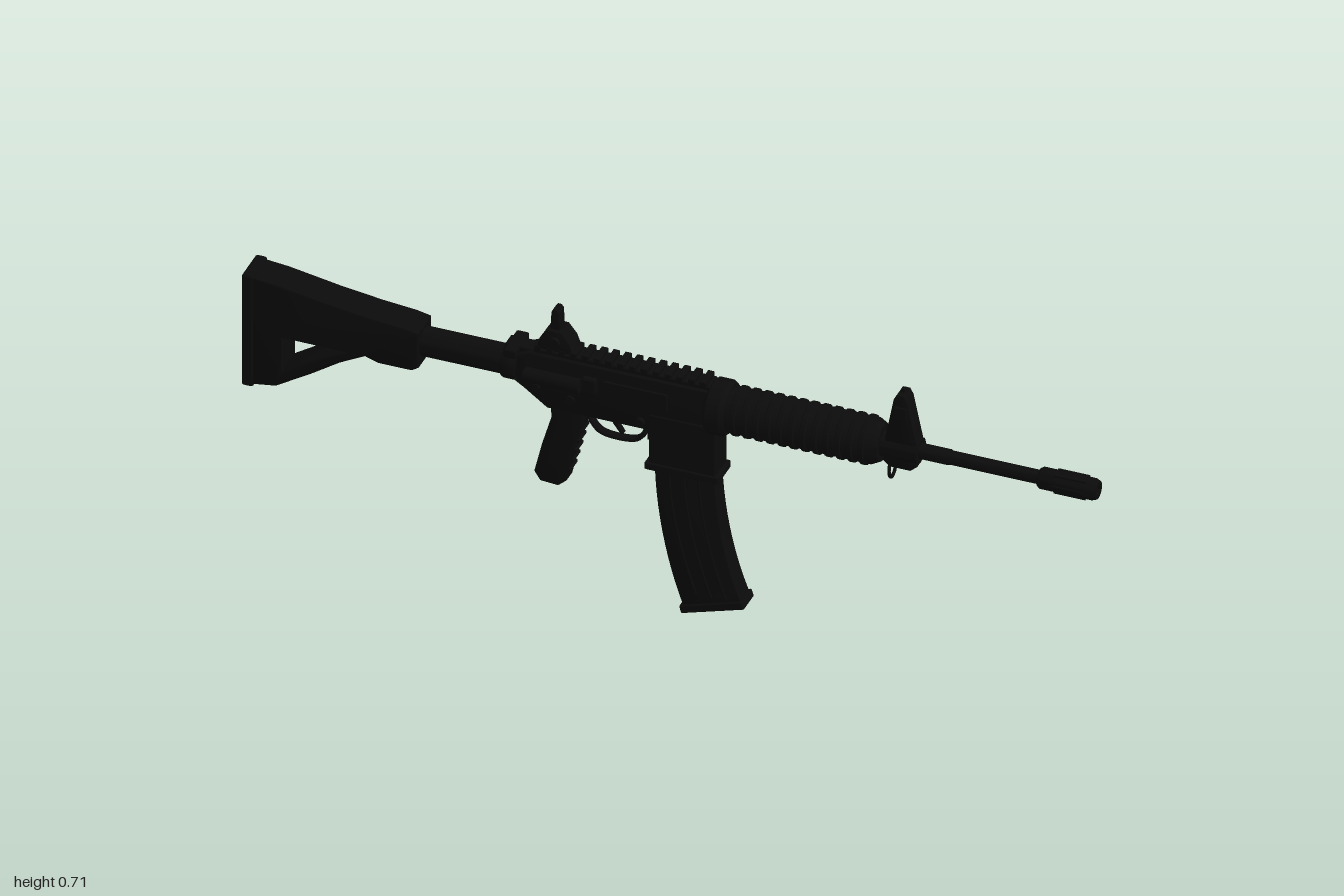
import * as THREE from 'three';
import { RoundedBoxGeometry } from 'three/addons/geometries/RoundedBoxGeometry.js';
import { toCreasedNormals } from 'three/addons/utils/BufferGeometryUtils.js';

export function createModel() {
  const model = new THREE.Group();
  const black = new THREE.MeshStandardMaterial({ color: 0x0b0b0b });
  black.name = 'matte black';
  const AXIS = 0.548; // height of the bore line

  const add = (name, geo) => {
    const mesh = new THREE.Mesh(geo, black);
    mesh.name = name;
    model.add(mesh);
    return mesh;
  };
  const box = (name, x0, x1, y0, y1, z0, z1, r = 0.004) => {
    const mesh = add(name, new RoundedBoxGeometry(x1 - x0, y1 - y0, z1 - z0, 1, r));
    mesh.position.set((x0 + x1) / 2, (y0 + y1) / 2, (z0 + z1) / 2);
    return mesh;
  };
  const toPoints = list => list.map(p => new THREE.Vector2(...p));
  // Side profile (x, y) extruded evenly about z = 0
  const plate = (name, outline, half, bevel = 0.006, holes = []) => {
    const shape = outline instanceof THREE.Shape ? outline : new THREE.Shape(toPoints(outline));
    holes.forEach(h => shape.holes.push(new THREE.Path(toPoints(h))));
    const geo = new THREE.ExtrudeGeometry(shape, {
      depth: 2 * (half - bevel), bevelThickness: bevel, bevelSize: bevel, bevelOffset: -bevel, bevelSegments: 2, curveSegments: 12,
    });
    geo.translate(0, 0, -(half - bevel));
    return add(name, toCreasedNormals(geo, 0.6));
  };
  // Turned part along x from [x, radius] pairs
  const turned = (name, pts) => {
    const geo = new THREE.LatheGeometry(pts.map(([x, r]) => new THREE.Vector2(r, x)), 28);
    geo.rotateZ(-Math.PI / 2);
    const mesh = add(name, toCreasedNormals(geo, 0.6));
    mesh.position.y = AXIS;
  };
  const pin = (name, x, y, r, half, z = 0) => {
    const mesh = add(name, new THREE.CylinderGeometry(r, r, half * 2, 16));
    mesh.rotation.x = Math.PI / 2;
    mesh.position.set(x, y, z);
  };

  // Shoulder stock with triangular opening
  plate('stock', [[-0.985, 0.36], [-0.92, 0.37], [-0.84, 0.42], [-0.77, 0.468], [-0.71, 0.50], [-0.68, 0.49], [-0.60, 0.49],
    [-0.585, 0.50], [-0.585, 0.59], [-0.62, 0.597], [-0.70, 0.604], [-0.80, 0.617], [-0.92, 0.637], [-0.985, 0.643]],
  0.041, 0.004, [[[-0.906, 0.412], [-0.906, 0.50], [-0.755, 0.50], [-0.82, 0.468]]]);
  box('buttPlate', -1, -0.972, 0.356, 0.647, -0.045, 0.045, 0.006);
  box('stockLatch', -0.68, -0.60, 0.484, 0.50, -0.022, 0.022);

  // Stock tube and its ring nut
  turned('stockTube', [[-0.62, 0], [-0.62, 0.034], [-0.34, 0.034], [-0.34, 0]]);
  turned('ringNut', [[-0.395, 0], [-0.395, 0.038], [-0.39, 0.041], [-0.365, 0.041], [-0.36, 0.038], [-0.36, 0]]);

  // Receiver
  plate('upperReceiver', [[-0.36, 0.515], [0.10, 0.505], [0.10, 0.60], [-0.33, 0.60], [-0.36, 0.585]], 0.034, 0.009);
  plate('lowerReceiver', [[-0.37, 0.525], [-0.34, 0.505], [-0.285, 0.465], [-0.05, 0.465], [-0.05, 0.44], [0.11, 0.44], [0.11, 0.525]], 0.033, 0.005);
  box('magazineWell', -0.045, 0.112, 0.375, 0.51, -0.036, 0.036);
  box('magazineWellLip', -0.054, 0.12, 0.366, 0.385, -0.040, 0.040);
  box('ejectionCover', -0.15, 0.0, 0.53, 0.572, 0.032, 0.039, 0.002);
  box('boltCatch', -0.075, -0.05, 0.48, 0.535, -0.042, -0.03);
  box('selectorLever', -0.27, -0.225, 0.495, 0.507, -0.042, -0.03);
  pin('selectorPivot', -0.23, 0.50, 0.012, 0.038);
  pin('rearPin', -0.31, 0.515, 0.009, 0.037);
  pin('frontPin', 0.085, 0.50, 0.009, 0.038);
  pin('magazineButton', -0.065, 0.485, 0.011, 0.006, 0.036);
  const assist = add('forwardAssist', new THREE.CylinderGeometry(0.017, 0.017, 0.13, 16));
  assist.rotation.z = Math.PI / 2;
  assist.position.set(-0.268, 0.55, 0.043);
  box('shellDeflector', -0.20, -0.165, 0.535, 0.575, 0.03, 0.048, 0.006);
  box('chargingHandle', -0.39, -0.31, 0.582, 0.602, -0.02, 0.02);
  box('chargingHandleGrip', -0.385, -0.355, 0.58, 0.602, -0.042, 0.042);

  // Toothed top rail
  box('railBase', -0.32, 0.095, 0.595, 0.609, -0.024, 0.024, 0.003);
  for (let i = 0; i < 15; i++) {
    const x = -0.318 + i * 0.0278;
    box('railTooth', x, x + 0.016, 0.605, 0.619, -0.026, 0.026, 0.002);
  }

  // Rear sight
  plate('rearSightBase', [[-0.315, 0.612], [-0.225, 0.612], [-0.235, 0.64], [-0.255, 0.665], [-0.29, 0.665], [-0.305, 0.64]], 0.025, 0.004);
  plate('rearSightBlade', [[-0.285, 0.65], [-0.26, 0.65], [-0.263, 0.708], [-0.269, 0.715], [-0.277, 0.715], [-0.282, 0.708]], 0.016, 0.003);
  pin('rearSightKnob', -0.27, 0.638, 0.013, 0.034);

  // Pistol grip with ribbed front
  plate('pistolGrip', [[-0.283, 0.48], [-0.20, 0.48], [-0.208, 0.42], [-0.222, 0.37], [-0.245, 0.275], [-0.262, 0.26], [-0.305, 0.263],
    [-0.32, 0.285], [-0.302, 0.36], [-0.28, 0.435]], 0.028, 0.011);
  for (let i = 0; i < 5; i++) {
    const rib = box('gripRib', -0.263 + i * 0.007, -0.233 + i * 0.007, 0.305 + i * 0.027, 0.314 + i * 0.027, -0.022, 0.022, 0.003);
    rib.rotation.z = -0.25;
  }

  // Trigger and guard
  const guardPath = new THREE.CatmullRomCurve3([[-0.205, 0.47], [-0.185, 0.43], [-0.165, 0.414], [-0.09, 0.414], [-0.07, 0.43], [-0.058, 0.47]]
    .map(([x, y]) => new THREE.Vector3(x, y, 0)));
  const guard = add('triggerGuard', new THREE.TubeGeometry(guardPath, 28, 0.006, 8));
  guard.scale.z = 2;
  plate('trigger', [[-0.145, 0.475], [-0.122, 0.475], [-0.128, 0.445], [-0.115, 0.424], [-0.123, 0.422], [-0.14, 0.445]], 0.007, 0.002);

  // Curved magazine with pressed ribs and floor plate
  const magazine = new THREE.Shape();
  magazine.moveTo(-0.036, 0.40);
  magazine.bezierCurveTo(-0.036, 0.27, -0.01, 0.13, 0.032, 0.018);
  magazine.lineTo(0.17, 0.06);
  magazine.bezierCurveTo(0.13, 0.16, 0.108, 0.28, 0.106, 0.40);
  plate('magazine', magazine, 0.027, 0.006);
  for (const side of [-1, 1]) for (const offset of [0.035, 0.07, 0.105]) {
    const path = new THREE.CubicBezierCurve3(...[[-0.036, 0.37], [-0.034, 0.27], [-0.008, 0.16], [0.028, 0.06]]
      .map(([x, y]) => new THREE.Vector3(x + offset, y, side * 0.026)));
    add('magazineRib', new THREE.TubeGeometry(path, 16, 0.004, 6));
  }
  const floor = box('magazineFloorPlate', -0.078, 0.078, -0.01, 0.01, -0.031, 0.031);
  floor.position.set(0.101, 0.033, 0);
  floor.rotation.z = 0.3;

  // Ribbed round handguard
  turned('handguardRing', [[0.088, 0], [0.088, 0.056], [0.097, 0.064], [0.128, 0.064], [0.138, 0.057], [0.138, 0]]);
  turned('handguard', [[0.13, 0], [0.13, 0.053], [0.475, 0.053], [0.495, 0.043], [0.495, 0]]);
  for (let i = 0; i < 12; i++) {
    const x = 0.15 + i * 0.0275;
    turned('handguardRib', [[x, 0.052], [x + 0.003, 0.057], [x + 0.013, 0.057], [x + 0.016, 0.052]]);
  }

  // Front sight tower and sling loop
  plate('frontSightTower', [[0.50, 0.515], [0.515, 0.502], [0.565, 0.502], [0.58, 0.515], [0.58, 0.575], [0.558, 0.68], [0.55, 0.695],
    [0.533, 0.695], [0.525, 0.68], [0.505, 0.575]], 0.021, 0.004);
  turned('frontSightCollar', [[0.495, 0], [0.495, 0.03], [0.582, 0.03], [0.582, 0]]);
  box('frontSightCrossbar', 0.526, 0.557, 0.63, 0.665, -0.025, 0.025);
  box('frontSightPost', 0.537, 0.546, 0.69, 0.704, -0.006, 0.006, 0.002);
  const loop = add('slingLoop', new THREE.TorusGeometry(0.02, 0.004, 8, 24));
  loop.rotation.y = Math.PI / 2;
  loop.scale.y = 1.2;
  loop.position.set(0.515, 0.49, 0);

  // Barrel and hollow muzzle device
  turned('barrel', [[0.48, 0], [0.48, 0.018], [0.65, 0.018], [0.655, 0.016], [0.88, 0.016], [0.88, 0]]);
  turned('muzzleDevice', [[0.862, 0], [0.862, 0.021], [0.868, 0.025], [0.99, 0.025], [1, 0.021], [1, 0.011], [0.93, 0.011], [0.93, 0]]);
  for (let i = 0; i < 6; i++) {
    const a = i * Math.PI / 3;
    const rib = box('muzzleRib', 0.90, 0.975, AXIS - 0.003, AXIS + 0.003, -0.003, 0.003, 0.001);
    rib.position.y += Math.sin(a) * 0.0245;
    rib.position.z = Math.cos(a) * 0.0245;
  }
  return model;
}
